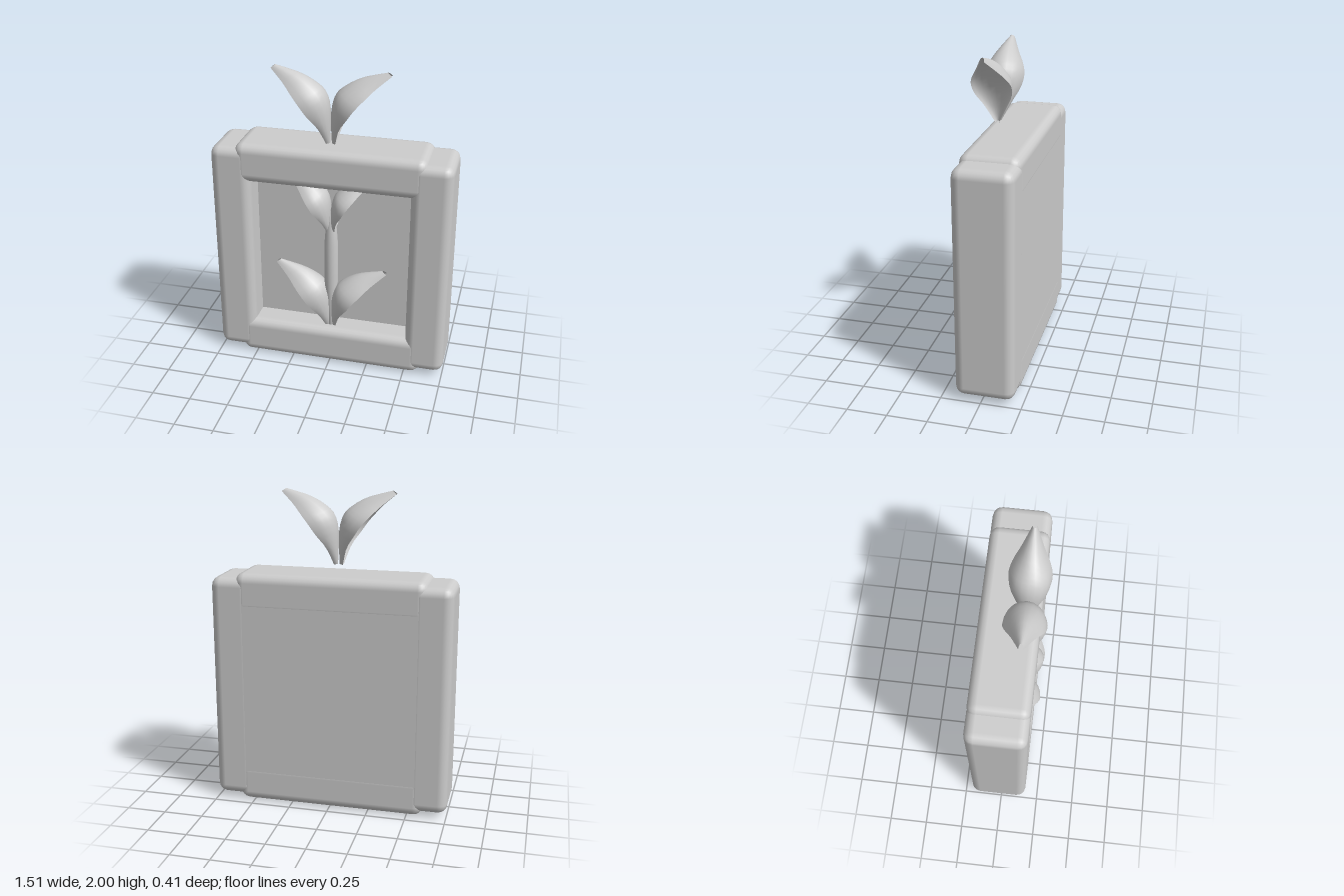
import * as THREE from 'three';
import { RoundedBoxGeometry } from 'three/addons/geometries/RoundedBoxGeometry.js';

const LEAF_Z = 0.08;
// leaf stations: crest x, crest y, rim x, rim y, half width (y from the leaf base)
const STATIONS = [
  [0.005, 0.005, 0.028, 0.0, 0.012],
  [0.003, 0.115, 0.065, 0.115, 0.072],
  [0.008, 0.245, 0.118, 0.195, 0.114],
  [0.036, 0.322, 0.163, 0.26, 0.123],
  [0.088, 0.37, 0.21, 0.312, 0.105],
  [0.18, 0.422, 0.27, 0.372, 0.064],
  [0.335, 0.465, 0.36, 0.446, 0.014],
];

// smooth curve through one pair of station columns
const curveOf = (a, b) => new THREE.CatmullRomCurve3(
  STATIONS.map((s) => new THREE.Vector3(s[a], s[b], s[4])));

// one skin of a cupped leaf: the convex back (inner = false) or the hollow underside
function leafSkin(side, inner, sx, sy) {
  const rows = 14, cols = 10;
  const crest = curveOf(0, 1), rim = curveOf(2, 3);
  const pos = [], index = [];
  for (let i = 0; i <= rows; i++) {
    const t = i / rows;
    const c = crest.getPoint(t), r = rim.getPoint(t);
    const depth = inner ? 1 - 0.5 * Math.sin(Math.PI * t) : 1;
    for (let j = 0; j <= cols; j++) {
      const a = Math.PI * (j / cols - 0.5);
      const p = r.clone().lerp(c, depth * Math.cos(a));
      pos.push(side * p.x * sx, p.y * sy, r.z * Math.sin(a));
    }
  }
  const flip = inner !== (side < 0);
  for (let i = 0; i < rows; i++) {
    for (let j = 0; j < cols; j++) {
      const a = i * (cols + 1) + j, b = a + cols + 1, c = a + 1, d = b + 1;
      if (flip) index.push(a, b, c, c, b, d);
      else index.push(a, c, b, c, d, b);
    }
  }
  const geo = new THREE.BufferGeometry();
  geo.setAttribute('position', new THREE.Float32BufferAttribute(pos, 3));
  geo.setIndex(index);
  geo.computeVertexNormals();
  return geo;
}

export function createModel() {
  const model = new THREE.Group();
  model.name = 'framedPlant';
  const grey = new THREE.MeshStandardMaterial({ color: 0xcccccc, side: THREE.DoubleSide });
  grey.name = 'lightGrey';

  const add = (name, geo, x, y, z, parent = model) => {
    const mesh = new THREE.Mesh(geo, grey);
    mesh.name = name;
    mesh.position.set(x, y, z);
    parent.add(mesh);
    return mesh;
  };

  // frame: two posts and two rails with rounded edges
  const frameZ = -0.02, depth = 0.37, round = 0.06;
  const post = new RoundedBoxGeometry(0.255, 1.445, depth, 2, round);
  const rail = new RoundedBoxGeometry(1.2, 0.255, depth, 2, round);
  add('leftPost', post, 0.6275, 0.7525, frameZ);
  add('rightPost', post, -0.6275, 0.7525, frameZ);
  add('topRail', rail, 0, 1.3775, frameZ);
  add('bottomRail', rail, 0, 0.1275, frameZ);

  // panel closing the back of the frame
  add('backPanel', new THREE.BoxGeometry(1.12, 1.13, 0.203), 0, 0.7525, -0.1015);

  // spindle-shaped stem
  const stem = [[0, 0.2], [0.018, 0.23], [0.034, 0.4], [0.044, 0.6],
    [0.044, 0.85], [0.034, 0.98], [0.02, 1.06], [0, 1.1]];
  add('stem', new THREE.LatheGeometry(stem.map(([r, y]) => new THREE.Vector2(r, y)), 16),
    0, 0, LEAF_Z);

  // leaf pairs: base height, width scale, height scale
  const pairs = [
    ['lowerLeaves', 0.235, 1, 1],
    ['middleLeaves', 0.93, 0.72, 0.845],
    ['topLeaves', 1.535, 1, 1],
  ];
  for (const [name, y, sx, sy] of pairs) {
    const pair = new THREE.Group();
    pair.name = name;
    pair.position.set(0, y, LEAF_Z);
    for (const side of [1, -1]) {
      const label = side > 0 ? 'leftLeaf' : 'rightLeaf';
      add(label + 'Back', leafSkin(side, false, sx, sy), 0, 0, 0, pair);
      add(label + 'Underside', leafSkin(side, true, sx, sy), 0, 0, 0, pair);
    }
    model.add(pair);
  }
  return model;
}
